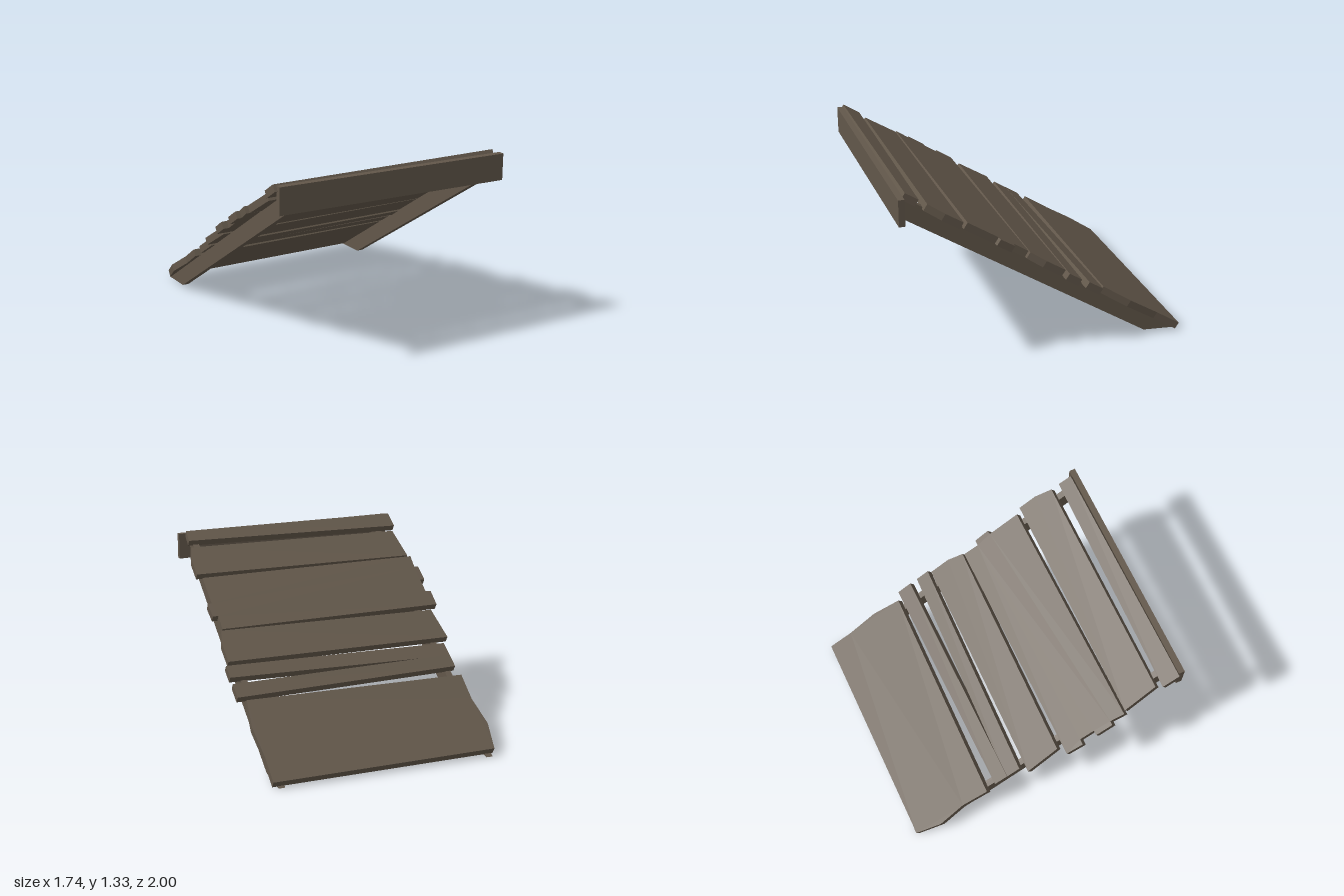
import * as THREE from 'three';

const SLOPE = 0.653;
const THICK = 0.05;

export function createModel() {
  const group = new THREE.Group();
  group.name = 'plankRamp';
  const wood = new THREE.MeshStandardMaterial({ color: 0x62574a });

  // Extrudes an outline, then places it with a basis (u, v, depth) and origin
  function slab(name, points, depth, u, v, w, origin) {
    const shape = new THREE.Shape(points.map(([a, b]) => new THREE.Vector2(a, b)));
    const geo = new THREE.ExtrudeGeometry(shape, { depth, bevelEnabled: false });
    const m = new THREE.Matrix4().makeBasis(
      new THREE.Vector3(...u), new THREE.Vector3(...v), new THREE.Vector3(...w));
    m.setPosition(...origin);
    geo.applyMatrix4(m);
    const mesh = new THREE.Mesh(geo, wood);
    mesh.name = name;
    group.add(mesh);
  }

  // Deck planks: outline of the upper face as [x, z], plus a small lift and sideways tilt
  const planks = [
    { lift: 0, tilt: 0, pts: [[-0.77, -0.99], [0.83, -1], [0.825, -0.83], [0.84, -0.62],
      [0.81, -0.425], [-0.79, -0.435], [-0.78, -0.62], [-0.81, -0.81]] },
    { lift: 0, tilt: 0, pts: [[-0.775, -0.365], [0.865, -0.4], [0.865, -0.3], [-0.775, -0.272]] },
    { lift: -0.004, tilt: -0.003, pts: [[-0.775, -0.278], [0.865, -0.245], [0.865, -0.155], [-0.775, -0.178]] },
    { lift: 0, tilt: 0, pts: [[-0.825, -0.135], [0.84, -0.135], [0.84, 0], [0.81, 0.105], [-0.8, 0.095]] },
    { lift: 0, tilt: 0, pts: [[-0.865, 0.135], [0.8, 0.115], [0.795, 0.22], [0.835, 0.22], [0.84, 0.32],
      [0.81, 0.325], [0.81, 0.535], [-0.845, 0.56], [-0.835, 0.465], [-0.865, 0.465],
      [-0.865, 0.35], [-0.83, 0.35], [-0.83, 0.25], [-0.87, 0.25]] },
    { lift: -0.003, tilt: 0, pts: [[-0.825, 0.573], [0.84, 0.57], [0.84, 0.69], [0.81, 0.8], [-0.8, 0.8]] },
    { lift: 0.003, tilt: -0.005, pts: [[-0.83, 0.835], [0.81, 0.855], [0.805, 0.942], [-0.83, 0.95]] },
  ];
  const len = Math.hypot(1, SLOPE);
  planks.forEach(({ lift, tilt, pts }, i) => {
    slab('plank' + (i + 1), pts, THICK, [1, tilt, 0], [0, SLOPE, 1],
      [0, -1 / len, SLOPE / len], [0, 0.05 + SLOPE + lift, 0]);
  });

  // Two sloping beams under the deck, outline as [z, y], leaning slightly inwards
  const beam = [[0.96, 1.28], [0.96, 1.13], [-0.75, 0.02], [-0.99, 0]];
  const beams = [
    { name: 'rightBeam', x: -0.7, lean: 0.013 },
    { name: 'leftBeam', x: 0.782, lean: -0.01 },
  ];
  for (const { name, x, lean } of beams) {
    slab(name, beam, 0.045, [lean, 0, 1], [0, 1, 0], [-1, 0, 0], [x, 0, 0]);
  }

  // Upright board closing the high end
  slab('frontBoard', [[-0.81, 1.135], [0.855, 1.11], [0.855, 1.295], [-0.81, 1.322]], 0.042,
    [1, 0, 0], [0, 1, 0], [0, 0, 1], [0, 0, 0.958]);

  return group;
}
